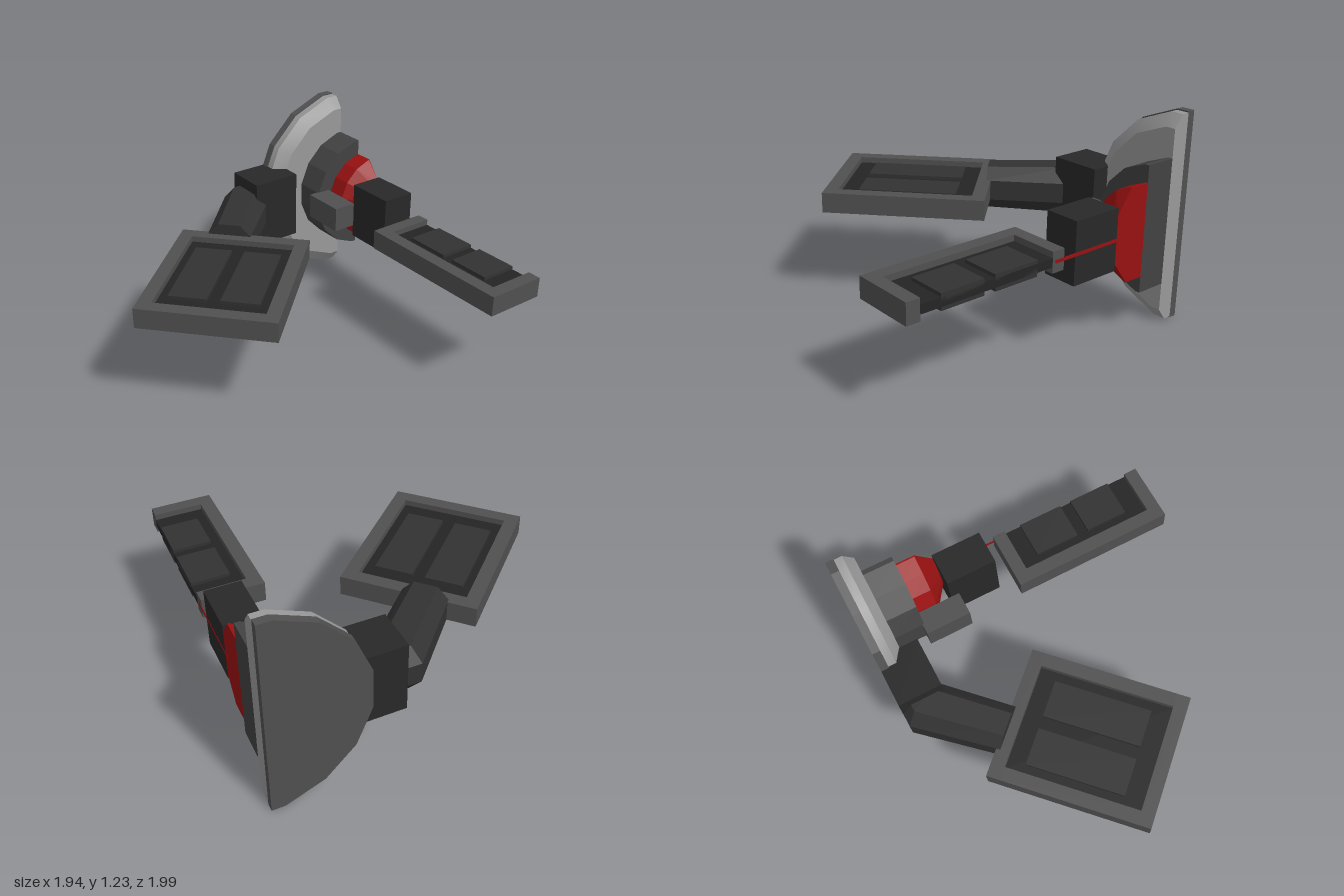
import * as THREE from 'three';
import { toCreasedNormals } from 'three/addons/utils/BufferGeometryUtils.js';

const paint = (color) => new THREE.MeshStandardMaterial({ color, flatShading: true });
const MAT = {
  dish: new THREE.MeshStandardMaterial({ color: 0x999999 }),
  frame: paint(0x505050),
  hub: paint(0x424242),
  black: paint(0x282828),
  recess: paint(0x242424),
  panel: paint(0x323232),
  red: paint(0x991111),
};
const MID = 0.617; // height of the main axis
const CUT = -1; // flat back plane
const AXIS_Z = -1.045;

function add(parent, name, geometry, material) {
  const mesh = new THREE.Mesh(geometry, material);
  mesh.name = name;
  parent.add(mesh);
  return mesh;
}

// Box given by its lower and upper corners
function block(parent, name, material, [x0, y0, z0], [x1, y1, z1]) {
  const g = new THREE.BoxGeometry(x1 - x0, y1 - y0, z1 - z0);
  g.translate((x0 + x1) / 2, (y0 + y1) / 2, (z0 + z1) / 2);
  return add(parent, name, g, material);
}

// Closed skin through rings of equal point count, capped at both ends
function loft(rings) {
  const n = rings[0].length;
  const index = [];
  for (let r = 0; r < rings.length - 1; r++) {
    for (let i = 0; i < n; i++) {
      const a = r * n + i;
      const b = r * n + ((i + 1) % n);
      index.push(a, a + n, b + n, a, b + n, b);
    }
  }
  const last = (rings.length - 1) * n;
  for (let i = 1; i < n - 1; i++) {
    index.push(0, i, i + 1, last, last + i + 1, last + i);
  }
  const g = new THREE.BufferGeometry();
  g.setAttribute('position', new THREE.Float32BufferAttribute(rings.flat(2), 3));
  g.setIndex(index);
  return g.toNonIndexed();
}

// Sixteen-sided turned part along x, sliced flat at the back plane; profile is [x, half height]
function slicedTurning(profile) {
  return loft(profile.map(([x, apothem]) => {
    const radius = apothem / Math.cos(Math.PI / 16);
    const ring = [[x, MID - apothem, CUT]];
    for (let i = 0; i < 8; i++) {
      const a = ((i - 3.5) * Math.PI) / 8;
      ring.push([x, MID + radius * Math.sin(a), Math.max(CUT, AXIS_Z + radius * Math.cos(a))]);
    }
    ring.push([x, MID + apothem, CUT]);
    return ring;
  }));
}

// Eight-sided arm section between a left and a right point, each [x, z]
function armRing(left, right, half) {
  const section = [[0, 0.06], [0.24, half], [0.76, half], [1, 0.06],
    [1, -0.06], [0.76, -half], [0.24, -half], [0, -0.06]];
  return section.map(([t, y]) => [
    THREE.MathUtils.lerp(left[0], right[0], t), MID + y,
    THREE.MathUtils.lerp(left[1], right[1], t)]);
}

// Framed wing plate around the origin; an open back leaves out the rear rail
function wing(name, length, z0, z1, openBack, panels) {
  const g = new THREE.Group();
  g.name = name;
  const h = 0.06, rail = 0.08, x = length / 2;
  for (const s of [-1, 1]) {
    const edges = [s * x, s * (x - rail)].sort((a, b) => a - b);
    block(g, 'endRail', MAT.frame, [edges[0], -h, z0], [edges[1], h, z1]);
  }
  block(g, 'frontRail', MAT.frame, [-x + rail, -h, z1 - rail], [x - rail, h, z1]);
  if (!openBack) block(g, 'backRail', MAT.frame, [-x + rail, -h, z0], [x - rail, h, z0 + rail]);
  const back = openBack ? z0 : z0 + rail;
  block(g, 'recessFloor', MAT.recess, [-x + rail, -0.025, back], [x - rail, 0.025, z1 - rail]);
  for (const [px0, pz0, px1, pz1] of panels) {
    block(g, 'raisedPanel', MAT.panel, [px0, -0.045, pz0], [px1, 0.045, pz1]);
  }
  return g;
}

export function createModel() {
  const model = new THREE.Group();
  model.name = 'halfCraft';

  // Dish, hub and red collar on one axis
  add(model, 'backPlate', slicedTurning([[-0.97, 0.615], [-0.923, 0.615]]), MAT.frame);
  add(model, 'dish', toCreasedNormals(
    slicedTurning([[-0.923, 0.608], [-0.875, 0.608], [-0.82, 0.535]]), 0.6), MAT.dish);
  add(model, 'hub', slicedTurning([[-0.82, 0.37], [-0.63, 0.37]]), MAT.hub);
  add(model, 'redCollar', slicedTurning([[-0.63, 0.273], [-0.51, 0.273], [-0.41, 0.14]]), MAT.red);

  // Core block, side pod and thin red connecting strip
  block(model, 'coreBlock', MAT.black, [-0.41, 0.44, CUT], [-0.1, 0.8, -0.79]);
  block(model, 'sidePod', MAT.frame, [-0.64, 0.54, -0.755], [-0.365, 0.695, -0.61]);
  block(model, 'redStrip', MAT.red, [-0.45, 0.607, CUT - 0.001], [0.04, 0.627, CUT + 0.002]);

  // Tail wing, open along the back plane
  const tail = wing('tailWing', 0.99, CUT, -0.635, true,
    [[-0.31, CUT, -0.035, -0.775], [0.035, CUT, 0.295, -0.775]]);
  tail.position.set(0.475, MID, 0);
  model.add(tail);

  // Shoulder block and bent arm to the side wing
  block(model, 'shoulderBlock', MAT.black, [-0.97, 0.405, -0.55], [-0.71, 0.83, -0.24]);
  add(model, 'arm', loft([
    armRing([-0.969, -0.4], [-0.711, -0.4], 0.145),
    armRing([-0.969, -0.16], [-0.711, -0.31], 0.143),
    armRing([-0.584, 0.204], [-0.393, 0.023], 0.128),
  ]), MAT.panel);

  // Angled side wing
  const side = wing('sideWing', 0.948, -0.393, 0.393, false,
    [[-0.29, -0.255, 0.285, -0.035], [-0.29, 0.04, 0.285, 0.26]]);
  side.position.set(-0.11, MID, 0.375);
  side.rotation.y = -0.815;
  model.add(side);

  return model;
}
